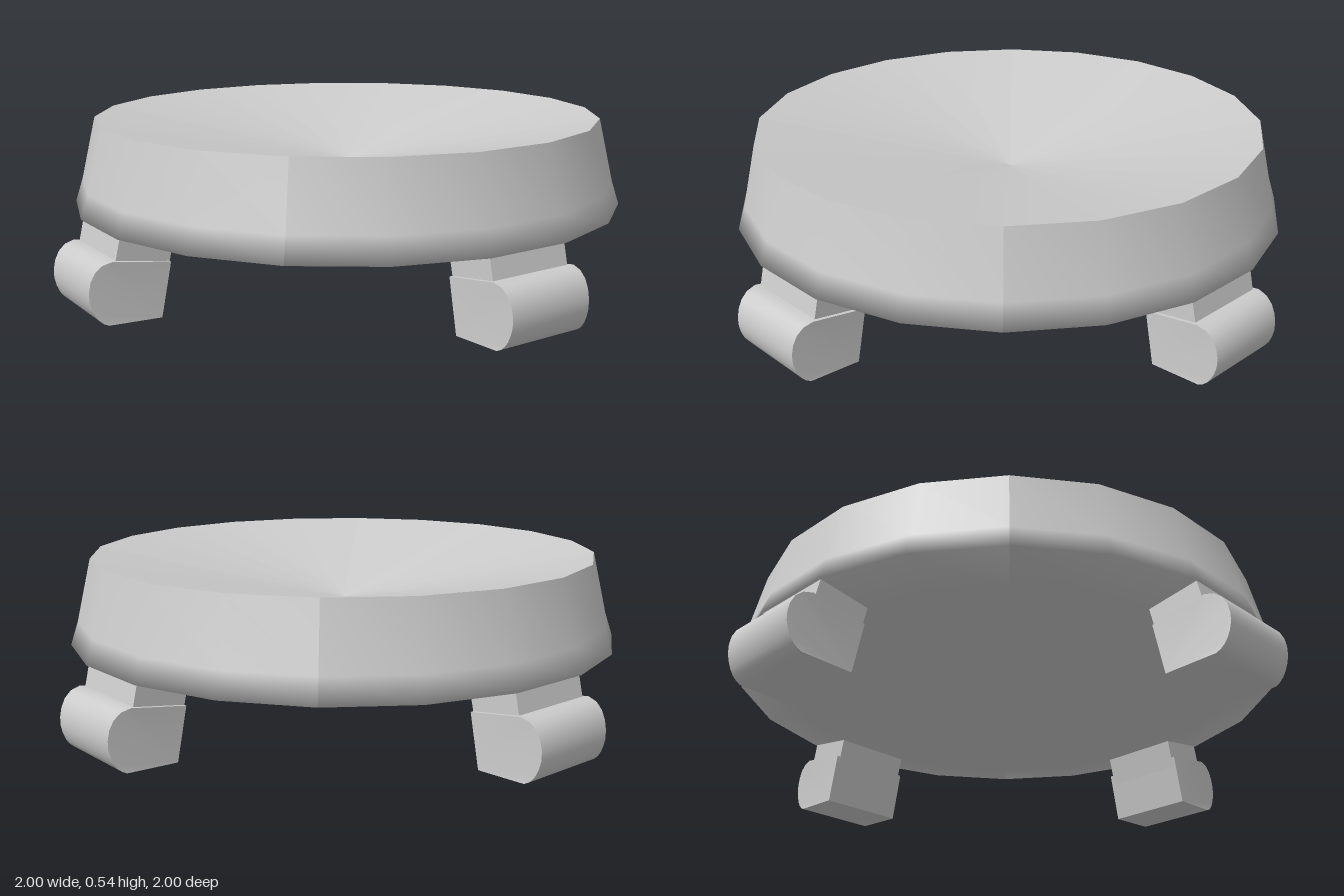
import * as THREE from 'three';
import { toCreasedNormals } from 'three/addons/utils/BufferGeometryUtils.js';

const material = new THREE.MeshStandardMaterial({ color: 0xcccccc });
const v = (x, y) => new THREE.Vector2(x, y);

// One quarter of a 20-sided revolved surface, creased where quarters meet
function quarter(points) {
  const geometry = new THREE.LatheGeometry(points, 5, Math.PI / 4, Math.PI / 2);
  geometry.computeVertexNormals();
  return geometry;
}

// Side profile swept across the width, with the outer end narrowed a little
function sweep(shape, halfWidth, taper = 0) {
  const geometry = new THREE.ExtrudeGeometry(shape, {
    depth: 2 * halfWidth, bevelEnabled: false, curveSegments: 5,
  });
  geometry.translate(0, 0, -halfWidth);
  const p = geometry.attributes.position;
  for (let i = 0; i < p.count; i++) {
    const outer = Math.max(0, (p.getX(i) - 0.92) / 0.08);
    p.setZ(i, p.getZ(i) * (1 - taper * outer));
  }
  return toCreasedNormals(geometry, 0.65);
}

function add(parent, name, geometry) {
  const mesh = new THREE.Mesh(geometry, material);
  mesh.name = name;
  parent.add(mesh);
}

export function createModel() {
  const model = new THREE.Group();
  model.name = 'footedDish';

  // Dish surfaces: shallow conical hollow, flared wall, flat base
  const hollow = quarter([v(0.842, 0.54), v(0, 0.375)]);
  const wall = quarter([v(0.74, 0.23), v(0.915, 0.258), v(0.89, 0.335), v(0.842, 0.54)]);
  const base = quarter([v(0, 0.23), v(0.74, 0.23)]);

  // Foot: flat sole, rounded toe, sloping top
  const footShape = new THREE.Shape();
  footShape.moveTo(0.777, 0);
  footShape.lineTo(0.945, 0.006);
  footShape.quadraticCurveTo(0.985, 0.02, 0.998, 0.085);
  footShape.bezierCurveTo(1.004, 0.13, 0.985, 0.195, 0.925, 0.197);
  footShape.lineTo(0.742, 0.168);
  const foot = sweep(footShape, 0.154, 0.06);

  // Neck: narrower block joining the foot to the underside of the dish
  const neckShape = new THREE.Shape([
    v(0.75, 0.13), v(0.92, 0.16), v(0.893, 0.275), v(0.72, 0.255),
  ]);
  const neck = sweep(neckShape, 0.142);

  for (let i = 0; i < 4; i++) {
    const dish = new THREE.Group();
    dish.name = 'dishQuarter';
    add(dish, 'hollow', hollow);
    add(dish, 'wall', wall);
    add(dish, 'base', base);

    const leg = new THREE.Group();
    leg.name = 'leg';
    add(leg, 'foot', foot);
    add(leg, 'neck', neck);

    dish.rotation.y = leg.rotation.y = i * Math.PI / 2;
    model.add(dish, leg);
  }
  return model;
}
